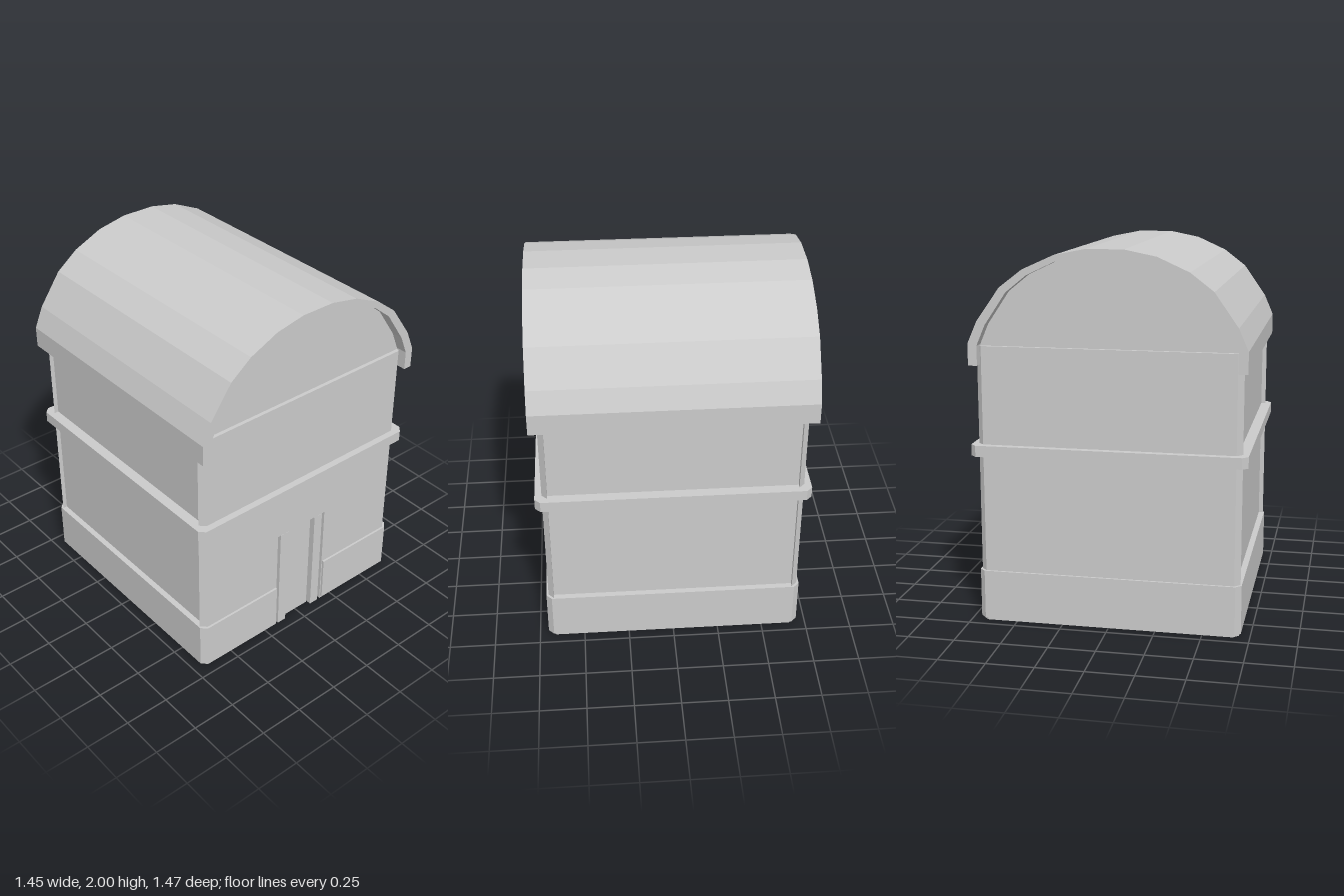
import * as THREE from 'three';

const material = new THREE.MeshStandardMaterial({ color: 0xcccccc, flatShading: true });

// Outline mirrored across x = 0; the half runs from the axis out and back to the axis
function mirroredShape(half) {
  const other = half.map(([x, y]) => [-x, y]).reverse();
  return new THREE.Shape([...half, ...other].map(([x, y]) => new THREE.Vector2(x, y)));
}

function addMesh(group, name, geometry) {
  const mesh = new THREE.Mesh(geometry, material);
  mesh.name = name;
  group.add(mesh);
  return mesh;
}

// Floor plan given as [x, z], raised from y0 to y1
function raisePlan(half, y0, y1) {
  const shape = mirroredShape(half.map(([x, z]) => [x, -z]));
  const geometry = new THREE.ExtrudeGeometry(shape, { depth: y1 - y0, bevelEnabled: false });
  return geometry.rotateX(-Math.PI / 2).translate(0, y0, 0);
}

// Front elevation given as [x, y], centred along z
function deepElevation(half, depth) {
  const geometry = new THREE.ExtrudeGeometry(mirroredShape(half), { depth, bevelEnabled: false });
  return geometry.translate(0, 0, -depth / 2);
}

// Square plan with cut corners
const cutSquare = (x, z, c) => [[x - c, z], [x, z - c], [x, c - z], [x - c, -z]];
// Shallow notch in the middle of the front for the doorway
const doorNotch = (x, z) => [[x, 0.65], [x, z]];

export function createModel() {
  const group = new THREE.Group();

  // Walls: chamfered corner posts with slightly recessed sides
  const wall = [
    [0.665, 0.69], [0.695, 0.66], [0.67, 0.66],
    [0.67, -0.66], [0.695, -0.66], [0.665, -0.69],
  ];
  addMesh(group, 'lowerWalls', raisePlan([...doorNotch(0.172, 0.69), ...wall], 0.01, 0.64));
  addMesh(group, 'upperWalls', raisePlan(wall, 0.64, 1.492));

  // Plinth and base course, open at the door, and the band between storeys
  addMesh(group, 'plinth',
    raisePlan([...doorNotch(0.172, 0.69), ...cutSquare(0.692, 0.69, 0.03)], 0, 0.016));
  addMesh(group, 'baseCourse',
    raisePlan([...doorNotch(0.178, 0.702), ...cutSquare(0.702, 0.702, 0.03)], 0.016, 0.28));
  addMesh(group, 'storeyBand', raisePlan(cutSquare(0.727, 0.727, 0.03), 0.912, 0.972));

  // Door leaf and jambs set in the notch
  const door = addMesh(group, 'door', new THREE.BoxGeometry(0.178, 0.64, 0.04));
  door.position.set(0, 0.32, 0.645);
  for (const side of [1, -1]) {
    const jamb = addMesh(group, side > 0 ? 'leftDoorJamb' : 'rightDoorJamb',
      new THREE.BoxGeometry(0.056, 0.64, 0.05));
    jamb.position.set(side * 0.125, 0.32, 0.666);
  }

  // Barrel roof overhanging solid gables
  const inner = [
    [0.092, 1.965], [0.257, 1.934], [0.403, 1.865],
    [0.512, 1.777], [0.627, 1.606], [0.672, 1.5],
  ];
  const outer = [
    [0.72, 1.396], [0.72, 1.51], [0.67, 1.625], [0.547, 1.8],
    [0.426, 1.893], [0.262, 1.967], [0.097, 2],
  ];
  addMesh(group, 'roof', deepElevation([...inner, [0.672, 1.396], ...outer], 1.47));
  addMesh(group, 'gables', deepElevation([...inner, [0.672, 1.48]], 1.34));

  return group;
}
